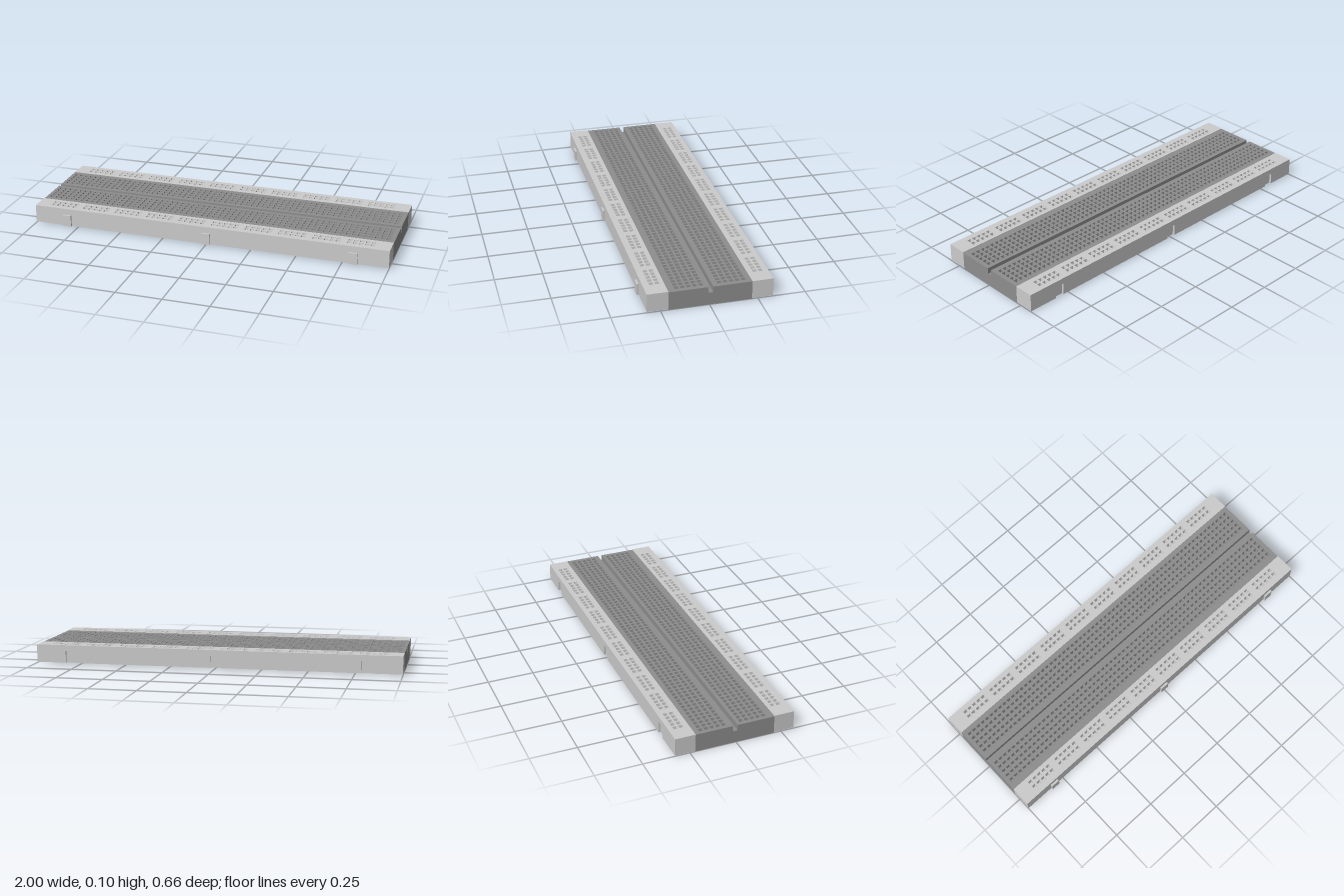
import * as THREE from 'three';

const PITCH = 0.0312;             // spacing of the contact holes
const HOLE = 0.011, FLOOR = 0.0075; // half width of a hole at its mouth and floor
const SPLIT = 0.068;              // height of tabs, hole floors and groove floor
const TABS = [-0.81, 0, 0.81];

const light = new THREE.MeshStandardMaterial({ color: 0xcccccc, flatShading: true });
const dark = new THREE.MeshStandardMaterial({ color: 0x8e8e8e, flatShading: true });

// Extrude a plan outline (x, -z) upward from y0 to y1
function slab(shape, y0, y1) {
  const g = new THREE.ExtrudeGeometry(shape, { depth: y1 - y0, bevelEnabled: false });
  g.rotateX(-Math.PI / 2);
  g.translate(0, y0, 0);
  return g;
}

function addMesh(group, name, geometry, material) {
  const mesh = new THREE.Mesh(geometry, material);
  mesh.name = name;
  group.add(mesh);
}

// Lower layer: tabs stick out of the +z edge, matching notches cut the -z edge
function baseShape(zBack, zFront) {
  const s = new THREE.Shape();
  s.moveTo(-1, -zFront);
  for (const x of TABS) {
    s.lineTo(x - 0.024, -zFront);
    s.lineTo(x - 0.024, -zFront - 0.011);
    s.lineTo(x + 0.024, -zFront - 0.011);
    s.lineTo(x + 0.024, -zFront);
  }
  s.lineTo(1, -zFront);
  s.lineTo(1, -zBack);
  for (const x of [...TABS].reverse()) {
    s.lineTo(x + 0.026, -zBack);
    s.lineTo(x + 0.026, -zBack - 0.012);
    s.lineTo(x - 0.026, -zBack - 0.012);
    s.lineTo(x - 0.026, -zBack);
  }
  s.lineTo(-1, -zBack);
  s.closePath();
  return s;
}

// Upper layer: a plate full of square holes that narrow toward the floor
function holePlate(zBack, zFront, top, xs, zs) {
  const s = new THREE.Shape();
  s.moveTo(-1, -zFront);
  s.lineTo(1, -zFront);
  s.lineTo(1, -zBack);
  s.lineTo(-1, -zBack);
  s.closePath();
  for (const x of xs) {
    for (const z of zs) {
      const h = new THREE.Path();
      h.moveTo(x - HOLE, -z - HOLE);
      h.lineTo(x - HOLE, -z + HOLE);
      h.lineTo(x + HOLE, -z + HOLE);
      h.lineTo(x + HOLE, -z - HOLE);
      h.closePath();
      s.holes.push(h);
    }
  }
  const g = slab(s, SPLIT, top);

  // Pull the lower hole corners toward their hole centres
  const p = g.attributes.position;
  const nearest = (list, v) => list.reduce((a, b) => (Math.abs(b - v) < Math.abs(a - v) ? b : a));
  for (let i = 0; i < p.count; i++) {
    const x = p.getX(i), z = p.getZ(i);
    const onEdge = Math.abs(x) > 0.9999 || z < zBack + 1e-4 || z > zFront - 1e-4;
    if (onEdge || p.getY(i) > SPLIT + 1e-4) continue;
    const cx = nearest(xs, x), cz = nearest(zs, z);
    p.setX(i, cx + (x - cx) * FLOOR / HOLE);
    p.setZ(i, cz + (z - cz) * FLOOR / HOLE);
  }
  g.computeVertexNormals();
  return g;
}

const row = (count, centre) =>
  Array.from({ length: count }, (_, i) => centre + (i - (count - 1) / 2) * PITCH);

// Power rail: ten groups of five columns, two rows
function powerRail(name, zBack, zFront, bottom, top, zRows) {
  const rail = new THREE.Group();
  rail.name = name;
  const xs = row(10, 0).flatMap((x) => row(5, -0.002 + x * 6));
  addMesh(rail, 'railBase', slab(baseShape(zBack, zFront), bottom, SPLIT), light);
  addMesh(rail, 'railHolePlate', holePlate(zBack, zFront, top, xs, row(2, zRows)), light);
  return rail;
}

export function createModel() {
  const model = new THREE.Group();
  model.name = 'solderlessBoard';

  // Central terminal block, two hole fields divided by a groove
  const block = new THREE.Group();
  block.name = 'terminalBlock';
  const columns = row(63, -0.002);
  addMesh(block, 'blockBase', slab(baseShape(-0.22, 0.21), 0, SPLIT), dark);
  addMesh(block, 'backHolePlate', holePlate(-0.22, -0.018, 0.1, columns, row(5, -0.119)), dark);
  addMesh(block, 'frontHolePlate', holePlate(0.007, 0.21, 0.1, columns, row(5, 0.1)), dark);
  model.add(block);

  // Power rails along both long sides
  model.add(powerRail('frontPowerRail', 0.21, 0.32, 0.005, 0.103, 0.259));
  model.add(powerRail('backPowerRail', -0.33, -0.22, 0.004, 0.101, -0.276));
  return model;
}
